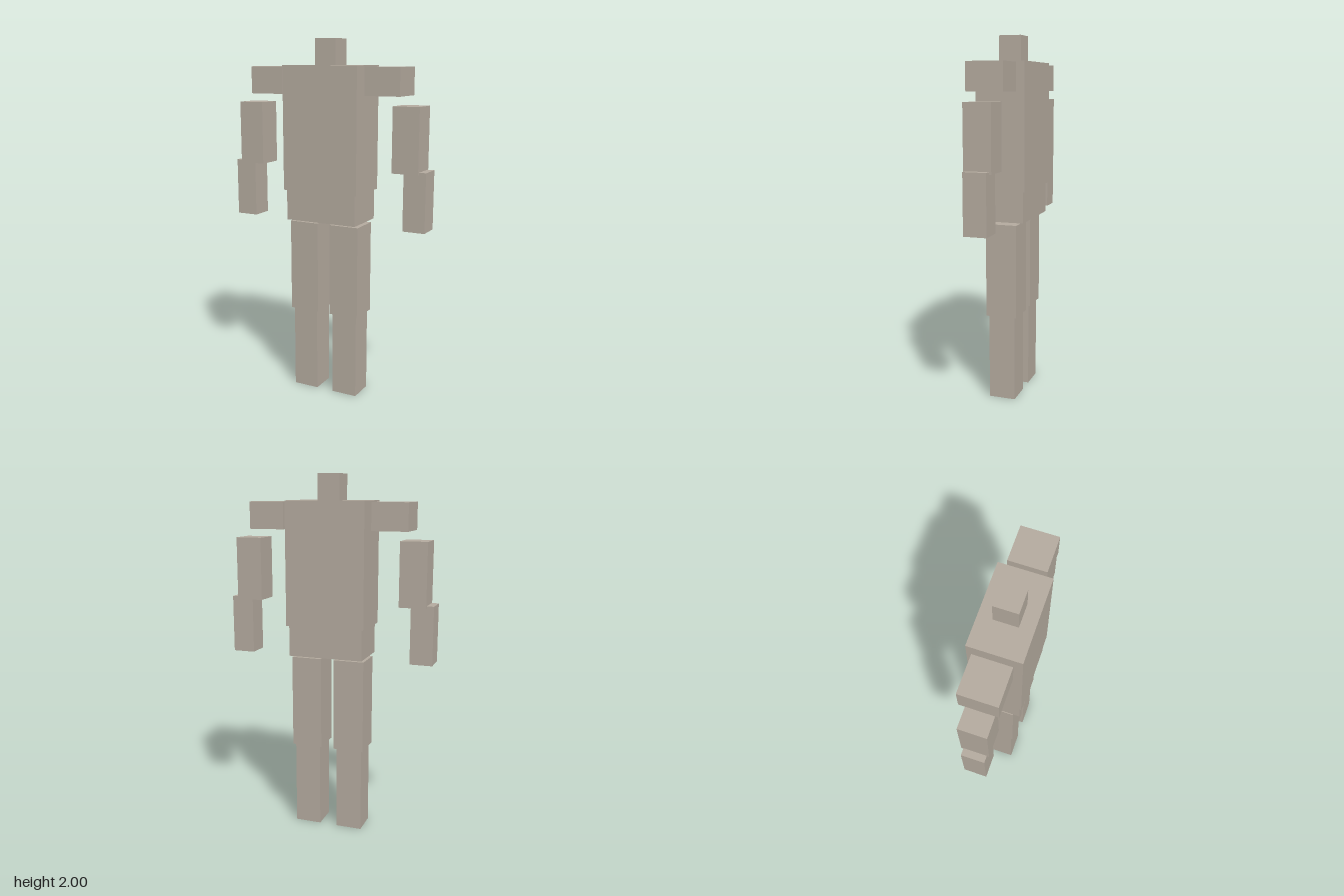
import * as THREE from 'three';

const material = new THREE.MeshStandardMaterial({ color: 0xb4aa9e, flatShading: true });

// Box given by its x range, y range and depth, centred on z = 0
function block(name, x0, x1, y0, y1, depth) {
  const mesh = new THREE.Mesh(new THREE.BoxGeometry(x1 - x0, y1 - y0, depth), material);
  mesh.position.set((x0 + x1) / 2, (y0 + y1) / 2, 0);
  mesh.name = name;
  return mesh;
}

export function createModel() {
  const figure = new THREE.Group();
  figure.name = 'blockFigure';

  // Trunk
  figure.add(
    block('head', -0.0625, 0.0625, 1.86, 2, 0.125),
    block('torso', -0.223, 0.223, 1.18, 1.86, 0.273),
    block('pelvis', -0.21, 0.21, 1.01, 1.18, 0.25),
  );

  // Limbs: name, inner x, outer x, bottom, top, depth
  const limbs = [
    ['Shoulder', 0.249, 0.447, 1.705, 1.853, 0.198],
    ['UpperArm', 0.398, 0.546, 1.307, 1.655, 0.148],
    ['Forearm', 0.461, 0.585, 1.0, 1.32, 0.124],
    ['Thigh', 0.037, 0.21, 0.477, 0.995, 0.174],
    ['Shin', 0.05, 0.198, 0, 0.477, 0.148],
  ];
  for (const [name, inner, outer, bottom, top, depth] of limbs) {
    figure.add(
      block('left' + name, inner, outer, bottom, top, depth),
      block('right' + name, -outer, -inner, bottom, top, depth),
    );
  }
  return figure;
}
